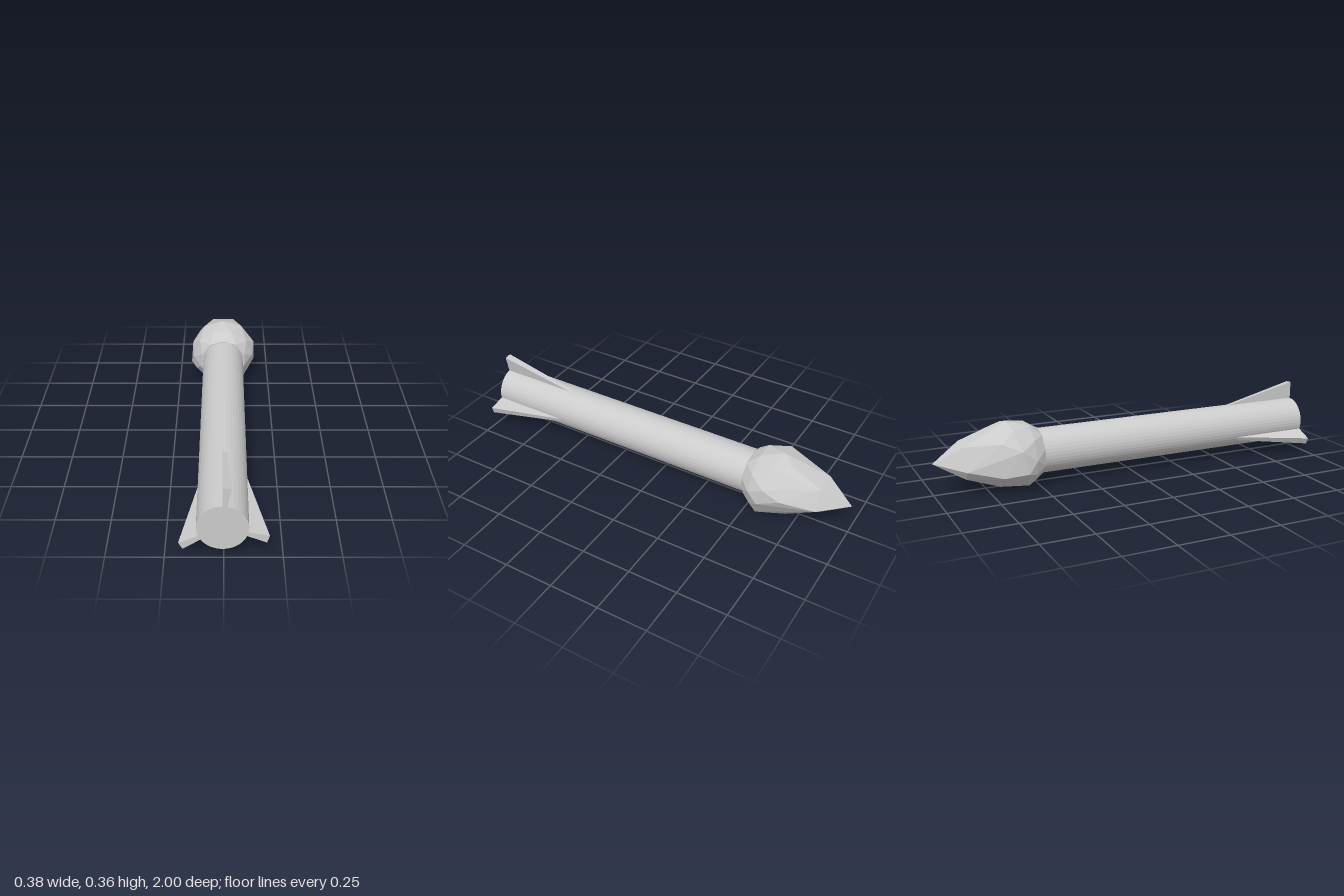
import * as THREE from 'three';
import { ConvexGeometry } from 'three/addons/geometries/ConvexGeometry.js';

const CX = -0.005, CY = 0.156, R = 0.11; // shaft axis and radius

// Uneven outline of the head at its widest, seen along the shaft
const OUTLINE = [
  [0.170, 0.120], [0.168, 0.212], [0.098, 0.298], [-0.010, 0.325], [-0.110, 0.297], [-0.175, 0.210],
  [-0.183, 0.100], [-0.150, 0.060], [-0.115, 0.024], [-0.055, 0.003], [0.010, 0.001], [0.108, 0.013],
].map(([x, y]) => [x - CX, y - CY]);

// Scaled copy of the outline at depth z; staggered rings use edge midpoints
function ring(z, scale, { step = 1, stagger = false, lean = 0 } = {}) {
  const points = [];
  for (let i = 0; i < OUTLINE.length; i += step) {
    const a = OUTLINE[i];
    const b = stagger ? OUTLINE[(i + 1) % OUTLINE.length] : a;
    const x = (a[0] + b[0]) / 2 * scale, y = (a[1] + b[1]) / 2 * scale;
    points.push(new THREE.Vector3(x, y, z - lean * y));
  }
  return points;
}

function createHead() {
  return new ConvexGeometry([
    ...ring(-0.485, 0.69),
    ...ring(-0.54, 0.94, { stagger: true }),
    ...ring(-0.6, 1, { lean: 0.25 }),
    ...ring(-0.7, 0.92, { step: 2, stagger: true }),
    ...ring(-0.86, 0.57, { step: 2 }),
    new THREE.Vector3(0, 0.001, -1),
  ]);
}

// Fin: a narrow sector of the tail that tapers to the shaft surface
function createFin() {
  const half = THREE.MathUtils.degToRad(5.4), inner = R - 0.004;
  const at = (r, a, z) => [r * Math.cos(a), r * Math.sin(a), z];
  const [a, b, c, d] = [at(inner, -half, 1), at(0.2, -half, 1), at(0.2, half, 1), at(inner, half, 1)];
  const [e, f] = [at(R, -half, 0.6), at(R, half, 0.6)];
  const triangles = [
    a, b, c, a, c, d, // tail face
    b, e, f, b, f, c, // sloping outer edge
    a, e, b, d, c, f, // sides
  ];
  const geometry = new THREE.BufferGeometry();
  geometry.setAttribute('position', new THREE.Float32BufferAttribute(triangles.flat(), 3));
  geometry.computeVertexNormals();
  return geometry;
}

export function createModel() {
  const material = new THREE.MeshStandardMaterial({ color: 0xcccccc, flatShading: true });
  const model = new THREE.Group();
  model.name = 'arrow';

  function add(name, geometry, angle = 0) {
    const mesh = new THREE.Mesh(geometry, material);
    mesh.name = name;
    mesh.position.set(CX, CY, 0);
    mesh.rotation.z = THREE.MathUtils.degToRad(angle);
    model.add(mesh);
  }

  // Shaft, running into the back of the head
  const front = 1, back = -0.53;
  const shaft = new THREE.CylinderGeometry(R, R, front - back, 40);
  shaft.rotateX(Math.PI / 2).translate(0, 0, (front + back) / 2);
  add('shaft', shaft);

  add('head', createHead());

  // Three tail fins
  const fin = createFin();
  add('topFin', fin, 84.6);
  add('leftFin', fin, -16.9);
  add('rightFin', fin, 207.9);

  return model;
}
